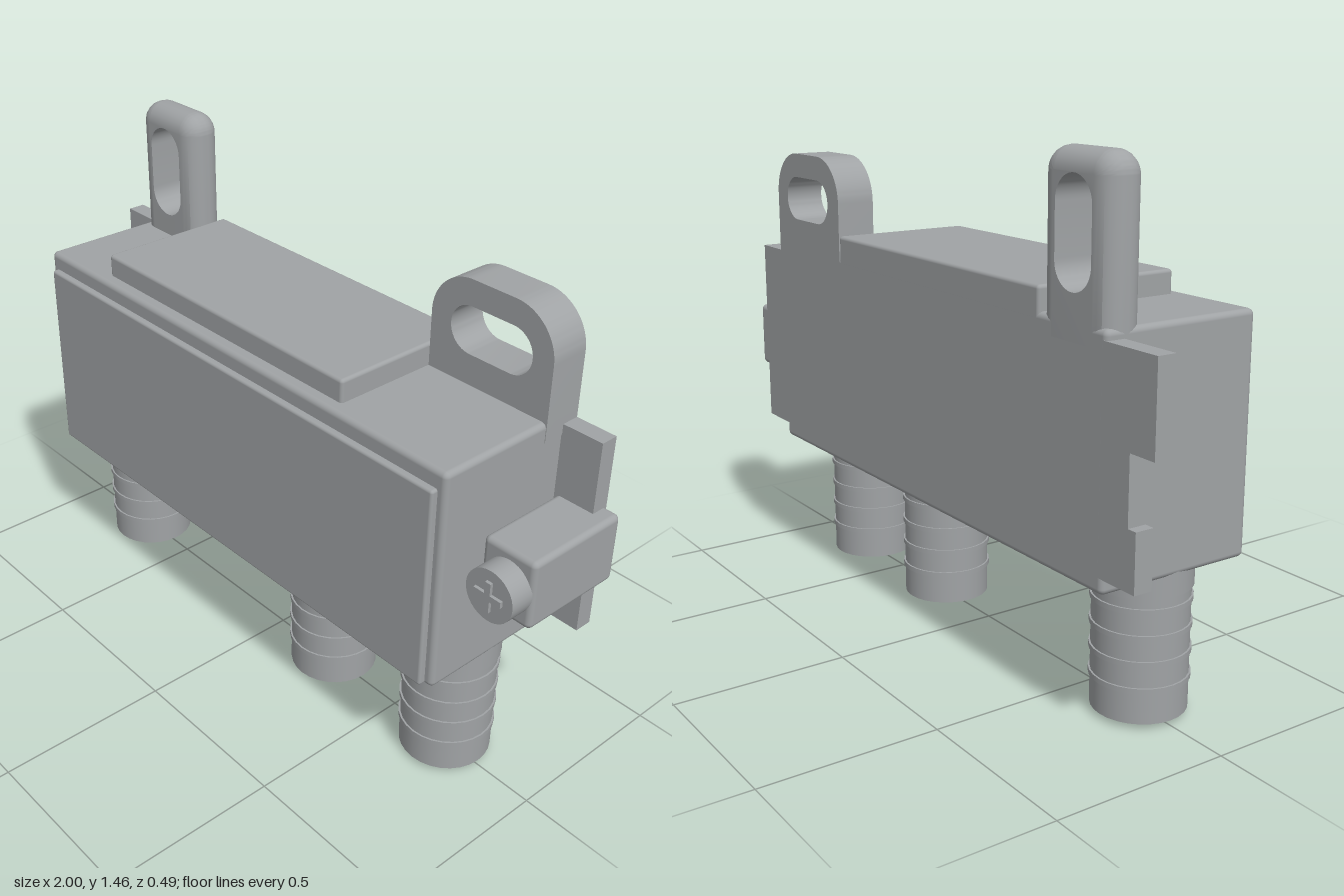
import * as THREE from 'three';
import { toCreasedNormals } from 'three/addons/utils/BufferGeometryUtils.js';
import { RoundedBoxGeometry } from 'three/addons/geometries/RoundedBoxGeometry.js';

const BACK = -0.243;

export function createModel() {
  const model = new THREE.Group();
  model.name = 'cableSplitter';
  const metal = new THREE.MeshStandardMaterial({ color: 0xa0a3a5 });
  metal.name = 'grey metal';

  const add = (name, geometry, parent = model) => {
    const mesh = new THREE.Mesh(geometry, metal);
    mesh.name = name;
    parent.add(mesh);
    return mesh;
  };

  // Softly rounded box given by its limits
  const block = (name, x0, x1, y0, y1, z0, z1, r) =>
    add(name, new RoundedBoxGeometry(x1 - x0, y1 - y0, z1 - z0, 3, r))
      .position.set((x0 + x1) / 2, (y0 + y1) / 2, (z0 + z1) / 2);

  // Stadium-shaped slot: straight run of half-length h, end radius r
  const slot = (cx, cy, h, r, upright) => {
    const p = new THREE.Path();
    if (upright) {
      p.absarc(cx, cy + h, r, 0, Math.PI);
      p.absarc(cx, cy - h, r, Math.PI, 2 * Math.PI);
    } else {
      p.absarc(cx + h, cy, r, -Math.PI / 2, Math.PI / 2);
      p.absarc(cx - h, cy, r, Math.PI / 2, Math.PI * 1.5);
    }
    p.closePath();
    return p;
  };

  // Plate outline with rounded top corners
  const tabShape = (x0, x1, y0, y1, r) => {
    const s = new THREE.Shape();
    s.moveTo(x0, y0);
    s.lineTo(x1, y0);
    s.lineTo(x1, y1 - r);
    s.absarc(x1 - r, y1 - r, r, 0, Math.PI / 2);
    s.lineTo(x0 + r, y1);
    s.absarc(x0 + r, y1 - r, r, Math.PI / 2, Math.PI);
    s.closePath();
    return s;
  };

  // Housing
  block('body', -0.825, 0.83, 0.41, 1.055, BACK, 0.224, 0.016);
  block('frontCover', -0.8, 0.805, 0.415, 1.005, 0.19, 0.243, 0.008);
  block('topPlate', -0.565, 0.435, 1.03, 1.12, BACK, 0.185, 0.01);

  // Wide mounting tab
  const wide = tabShape(0.435, 0.832, 1.0, 1.345, 0.13);
  wide.holes.push(slot(0.635, 1.207, 0.067, 0.066, false));
  const wideGeo = new THREE.ExtrudeGeometry(wide, { depth: 0.118, bevelEnabled: false, curveSegments: 12 });
  add('wideMountingTab', toCreasedNormals(wideGeo, 0.5)).position.z = BACK;

  // Narrow mounting tab: fully rounded rim around a straight-walled slot
  const b = 0.055, hx = -0.695, hy = 1.26, hr = 0.069, hh = 0.069;
  const narrow = tabShape(-0.825 + b, -0.562 - b, 0.95 + b, 1.455 - b, 0.006);
  narrow.holes.push(slot(hx, hy, hh, hr, true));
  const narrowGeo = new THREE.ExtrudeGeometry(narrow, {
    depth: 0.008, bevelEnabled: true, bevelSize: b, bevelThickness: b, bevelSegments: 6, curveSegments: 12,
  });
  const pos = narrowGeo.attributes.position;
  for (let i = 0; i < pos.count; i++) {
    // push the slot's bevelled wall back out to the slot outline
    const cy = THREE.MathUtils.clamp(pos.getY(i), hy - hh, hy + hh);
    const dx = pos.getX(i) - hx, dy = pos.getY(i) - cy, d = Math.hypot(dx, dy);
    if (d > 1e-6 && d < hr) pos.setXY(i, hx + dx * hr / d, cy + dy * hr / d);
  }
  add('narrowMountingTab', toCreasedNormals(narrowGeo, 0.6)).position.z = BACK + b;

  // Thin side flanges along the back
  const flange = (name, points) => {
    const shape = new THREE.Shape(points.map(([x, y]) => new THREE.Vector2(x, y)));
    add(name, new THREE.ExtrudeGeometry(shape, { depth: 0.053, bevelEnabled: false })).position.z = BACK;
  };
  flange('rightFlange', [[-0.81, 0.455], [-0.81, 1.03], [-1, 1.03], [-1, 0.79],
    [-0.915, 0.79], [-0.915, 0.61], [-0.943, 0.61], [-0.943, 0.455]]);
  flange('leftFlange', [[0.81, 0.455], [0.953, 0.455], [0.953, 1.03], [0.81, 1.03]]);

  // Grounding block with a cross-head screw
  block('groundBlock', 0.835, 1.0, 0.625, 0.825, BACK, 0.08, 0.016);
  const screw = new THREE.Group();
  screw.name = 'groundScrew';
  screw.position.set(0.922, 0.724, 0);
  model.add(screw);
  const head = add('screwHead', new THREE.CylinderGeometry(0.074, 0.074, 0.087, 32), screw);
  head.rotation.x = Math.PI / 2;
  head.position.z = 0.1035;
  const cross = new THREE.Shape();
  const a = 0.043, w = 0.009;
  [[a, -w], [a, w], [w, w], [w, a], [-w, a], [-w, w], [-a, w], [-a, -w], [-w, -w], [-w, -a], [w, -a], [w, -w]]
    .forEach(([x, y], i) => (i ? cross.lineTo(x, y) : cross.moveTo(x, y)));
  add('screwCross', new THREE.ExtrudeGeometry(cross, { depth: 0.009, bevelEnabled: false }), screw).position.z = 0.147;

  // Ribbed cable connectors underneath
  for (const x of [-0.69, 0.235, 0.695]) {
    const connector = new THREE.Group();
    connector.name = 'connector';
    connector.position.x = x;
    model.add(connector);
    const drum = (name, r, y0, y1) =>
      add(name, new THREE.CylinderGeometry(r, r, y1 - y0, 28), connector).position.setY((y0 + y1) / 2);
    drum('barrel', 0.128, 0.015, 0.4);
    drum('collar', 0.134, 0.355, 0.425);
    for (const y of [0.107, 0.179, 0.249, 0.32]) drum('rib', 0.133, y - 0.007, y + 0.007);
    drum('contactDisc', 0.045, 0.01, 0.03);
    drum('contactPin', 0.015, 0, 0.03);
  }

  return model;
}
